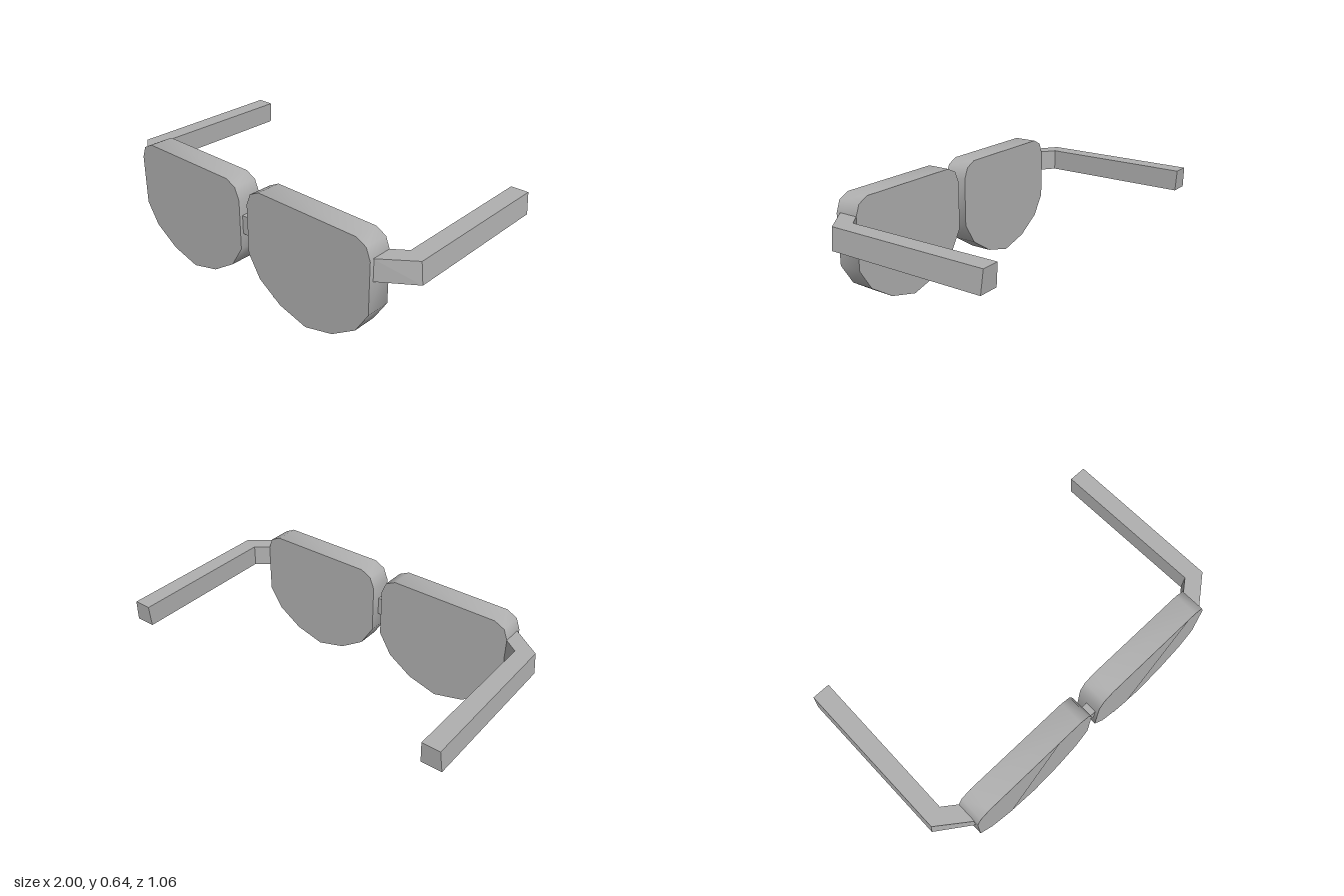
import * as THREE from 'three';
import { toCreasedNormals } from 'three/addons/utils/BufferGeometryUtils.js';

const grey = new THREE.MeshStandardMaterial({ color: 0xb0b0b0 });
grey.name = 'grey';

// Lens outline on the +x side
const LENS = [
  [0.028, 0.27], [0.105, 0.145], [0.25, 0.05], [0.425, 0.003], [0.60, 0.05],
  [0.745, 0.145], [0.82, 0.265], [0.82, 0.55], [0.795, 0.615], [0.735, 0.645],
  [0.115, 0.645], [0.055, 0.615], [0.028, 0.55],
];

// Plan outline of one temple arm as (x, z), elbow included
const ARM = [
  [0.815, 0.507], [0.987, 0.378], [0.987, -0.532],
  [0.888, -0.532], [0.893, 0.335], [0.815, 0.393],
];

const shapeOf = (points, sx = 1, sy = 1) =>
  new THREE.Shape(points.map(([x, y]) => new THREE.Vector2(x * sx, y * sy)));

function add(group, name, geometry) {
  const mesh = new THREE.Mesh(geometry, grey);
  mesh.name = name;
  group.add(mesh);
  return mesh;
}

function lensGeometry(side) {
  const geo = new THREE.ExtrudeGeometry(shapeOf(LENS, side), { depth: 0.138, bevelEnabled: false });
  geo.translate(0, 0, 0.391);
  return toCreasedNormals(geo, 0.85);
}

function armGeometry(side) {
  const geo = new THREE.ExtrudeGeometry(shapeOf(ARM, side, -1), { depth: 0.12, bevelEnabled: false });
  geo.rotateX(-Math.PI / 2);
  geo.translate(0, 0.436, 0);
  // The outer wall leans outward at the bottom, the back end leans rearward at the top
  const p = geo.attributes.position;
  for (let i = 0; i < p.count; i++) {
    const low = p.getY(i) < 0.5;
    if (Math.abs(p.getX(i)) > 0.95 && low) p.setX(i, side * 1.0);
    if (p.getZ(i) < -0.5 && low) p.setZ(i, -0.525);
  }
  geo.computeVertexNormals();
  return geo;
}

export function createModel() {
  const group = new THREE.Group();
  group.name = 'sunglasses';

  for (const [side, label] of [[1, 'left'], [-1, 'right']]) {
    add(group, label + 'Lens', lensGeometry(side));
    add(group, label + 'Temple', armGeometry(side));
  }

  // Bridge between the lenses
  const bridge = add(group, 'bridge', new THREE.BoxGeometry(0.08, 0.105, 0.065));
  bridge.position.set(0, 0.4075, 0.4775);

  // Diagonal reflection band on the front of each lens
  const bands = {
    leftReflection: [[0.535, 0.644], [0.20, 0.08], [0.32, 0.034], [0.68, 0.644]],
    rightReflection: [[-0.42, 0.644], [-0.715, 0.13], [-0.60, 0.053], [-0.265, 0.644]],
  };
  for (const [name, points] of Object.entries(bands)) {
    add(group, name, new THREE.ShapeGeometry(shapeOf(points))).position.z = 0.5305;
  }
  return group;
}
